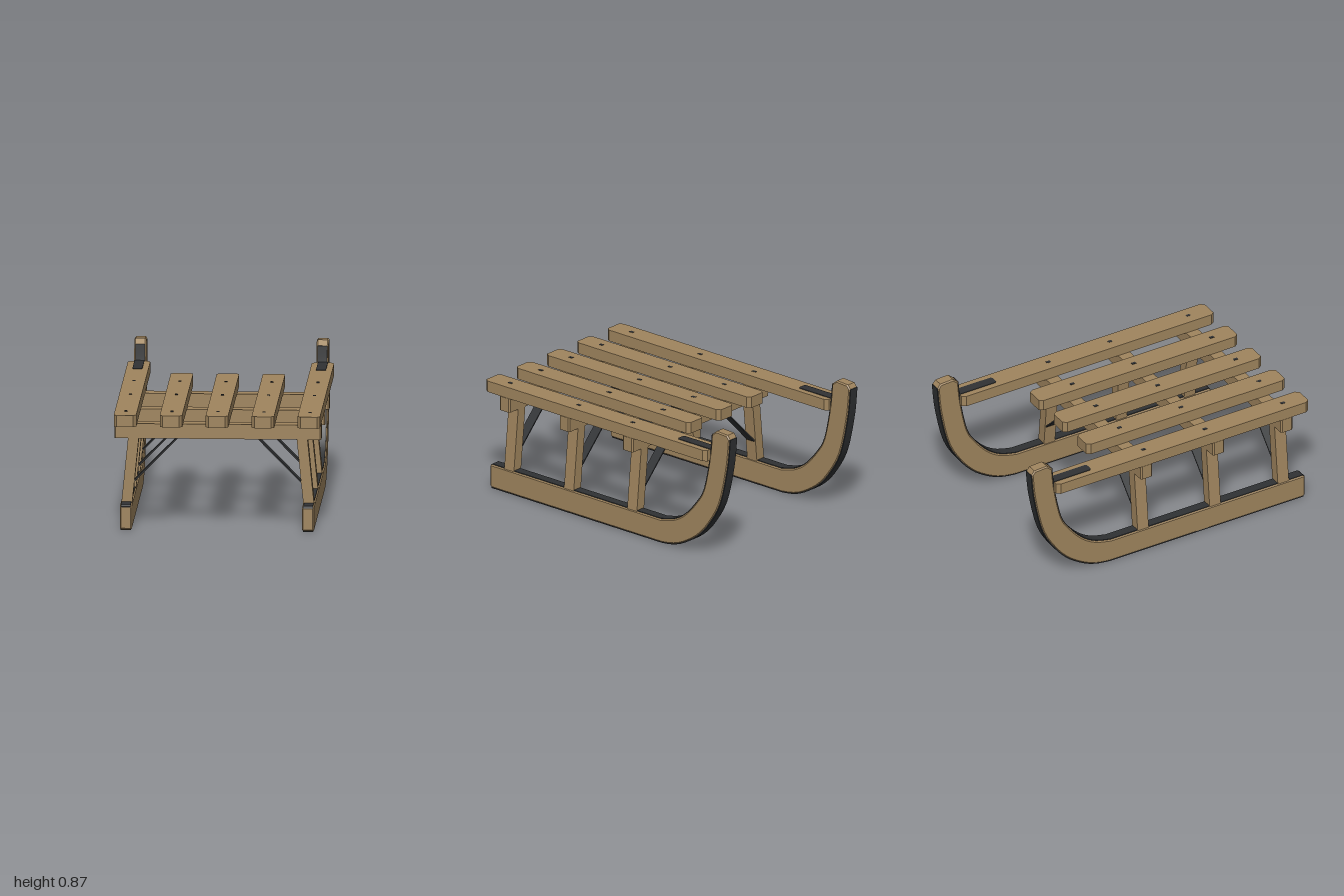
import * as THREE from 'three';
import { toCreasedNormals } from 'three/addons/utils/BufferGeometryUtils.js';

const wood = new THREE.MeshStandardMaterial({ color: 0xa0855e });
const iron = new THREE.MeshStandardMaterial({ color: 0x303234 });
const V = (z, y) => new THREE.Vector2(-z, y);

function add(parent, name, geometry, material, x = 0, y = 0, z = 0) {
  const mesh = new THREE.Mesh(geometry, material);
  mesh.name = name;
  mesh.position.set(x, y, z);
  parent.add(mesh);
  return mesh;
}

// Board lying flat, with its four corners cut off in plan
function board(w, h, d, cx, cz) {
  const x = w / 2, z = d / 2;
  const shape = new THREE.Shape([
    [x - cx, -z], [x, -z + cz], [x, z - cz], [x - cx, z],
    [-x + cx, z], [-x, z - cz], [-x, -z + cz], [-x + cx, -z],
  ].map(p => new THREE.Vector2(...p)));
  return new THREE.ExtrudeGeometry(shape, { depth: h, bevelEnabled: false })
    .rotateX(-Math.PI / 2).translate(0, -h / 2, 0);
}

// Side profile (drawn in z and y) extruded across x and centred on it
function sideExtrude(points, width, bevel = 0) {
  const geometry = new THREE.ExtrudeGeometry(new THREE.Shape(points), {
    depth: width - 2 * bevel, bevelEnabled: bevel > 0, bevelSegments: 1,
    bevelSize: bevel, bevelOffset: -bevel, bevelThickness: bevel,
  });
  geometry.translate(0, 0, -width / 2 + bevel).rotateY(Math.PI / 2);
  return toCreasedNormals(geometry, 0.4);
}

// Thin band following a line; side = 1 raises it to the left of travel
function ribbon(points, width, side) {
  const offset = amount => points.map((p, i) => {
    const a = points[Math.max(i - 1, 0)], b = points[Math.min(i + 1, points.length - 1)];
    const t = b.clone().sub(a).normalize();
    return new THREE.Vector2(p.x - t.y * amount * side, p.y + t.x * amount * side);
  });
  return sideExtrude([...offset(0.004), ...offset(-0.006).reverse()], width);
}

export function createModel() {
  const sled = new THREE.Group();
  sled.name = 'sled';

  // Runner outlines: underside and upper side, both from front to horn
  const lower = new THREE.SplineCurve([
    V(-0.43, 0.004), V(-0.52, 0.017), V(-0.61, 0.05), V(-0.727, 0.126), V(-0.823, 0.233),
    V(-0.914, 0.394), V(-0.973, 0.646), V(-0.993, 0.834),
  ]).getPoints(24);
  const upper = new THREE.SplineCurve([
    V(-0.42, 0.158), V(-0.53, 0.186), V(-0.625, 0.244), V(-0.716, 0.345),
    V(-0.78, 0.453), V(-0.828, 0.673), V(-0.845, 0.834),
  ]).getPoints(24);
  const profile = [
    V(0.98, 0.004), V(0.99, 0.014), ...[], V(0.99, 0.146), V(0.978, 0.158),
    ...upper, V(-0.882, 0.865), V(-0.973, 0.86), ...lower.slice().reverse(),
  ];
  const runnerGeo = sideExtrude(profile.reverse(), 0.075, 0.008);
  const soleGeo = ribbon([V(0.98, 0.004), ...lower], 0.064, -1);
  const topBandGeo = ribbon([V(0.986, 0.148), V(0.976, 0.158), ...upper], 0.06, 1);

  const barZ = [0.835, 0.34, -0.183];
  for (const s of [1, -1]) {
    const name = s > 0 ? 'left' : 'right';
    const side = new THREE.Group();
    side.name = name + 'Side';
    sled.add(side);
    add(side, name + 'Runner', runnerGeo, wood, s * 0.568);
    add(side, name + 'RunnerSole', soleGeo, iron, s * 0.568);
    add(side, name + 'RunnerTopBand', topBandGeo, iron, s * 0.568);
    // Plate tying the horn to the outer slat
    add(side, name + 'HornPlate', board(0.062, 0.008, 0.28, 0.01, 0.012), iron, s * 0.572, 0.73, -0.7);

    for (const z of barZ) {
      // Leg leaning in toward the top
      const leg = new THREE.BoxGeometry(0.067, 0.43, 0.08);
      const p = leg.attributes.position;
      for (let i = 0; i < p.count; i++) p.setX(i, p.getX(i) - s * p.getY(i) * 0.1);
      leg.computeVertexNormals();
      add(side, name + 'Leg', leg, wood, s * 0.546, 0.363, z);

      // Flat diagonal brace from leg to crossbar
      const brace = add(side, name + 'Brace', new THREE.BoxGeometry(0.395, 0.008, 0.066), iron, s * 0.385, 0.43, z);
      brace.rotation.z = -s * Math.atan2(0.275, 0.27);
    }
  }

  // Crossbars
  for (const z of barZ) add(sled, 'crossbar', board(1.29, 0.093, 0.085, 0.008, 0.01), wood, 0, 0.61, z);

  // Seat slats and their screws
  for (let i = -2; i <= 2; i++) {
    const x = i * 0.2865, length = Math.abs(i) === 2 ? 1.83 : 1.44;
    add(sled, 'slat', board(0.14, 0.073, length, 0.018, 0.025), wood, x, 0.6935, 1 - length / 2);
    for (const z of [0.847, 0.28, -0.167])
      add(sled, 'screw', new THREE.BoxGeometry(0.018, 0.01, 0.028), iron, x, 0.727, z);
  }
  return sled;
}
